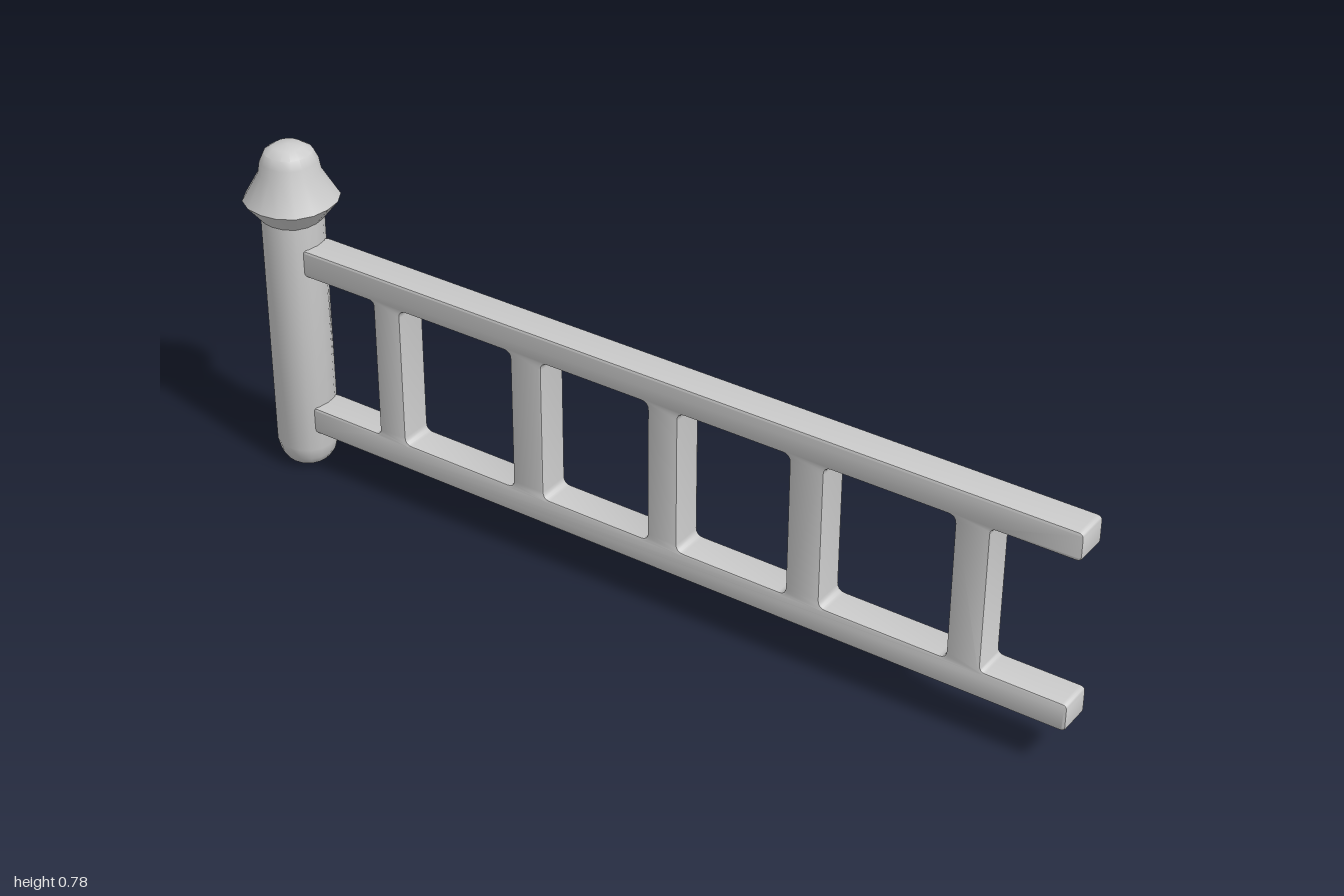
import * as THREE from 'three';
import { toCreasedNormals } from 'three/addons/utils/BufferGeometryUtils.js';

const material = new THREE.MeshStandardMaterial({ color: 0xcccccc });

// Traces a closed polygon with softened corners onto a Shape or Path
function roundedPolygon(path, points, radius) {
  const corners = points.map(([x, y]) => new THREE.Vector2(x, y));
  const n = corners.length;
  const toward = (a, b) => a.clone().add(b.clone().sub(a).setLength(radius));
  corners.forEach((c, i) => {
    const start = toward(c, corners[(i + n - 1) % n]);
    const end = toward(c, corners[(i + 1) % n]);
    if (i === 0) path.moveTo(start.x, start.y);
    else path.lineTo(start.x, start.y);
    path.quadraticCurveTo(c.x, c.y, end.x, end.y);
  });
  path.closePath();
  return path;
}

// Turned post with a flared collar and a domed cap
function createPost() {
  const profile = [
    [0, 0.001], [0.03, 0.004], [0.048, 0.014], [0.059, 0.032], [0.065, 0.058],
    [0.065, 0.607], [0.1, 0.651], [0.064, 0.715], [0.06, 0.74],
    [0.051, 0.76], [0.032, 0.773], [0, 0.777],
  ].map(([r, y]) => new THREE.Vector2(r, y));
  const geometry = new THREE.LatheGeometry(profile, 16);

  // Push the diagonals out a little for a soft, squarish section
  const p = geometry.attributes.position;
  for (let i = 0; i < p.count; i++) {
    const x = p.getX(i), z = p.getZ(i);
    const f = 1 + 0.04 * Math.sin(2 * Math.atan2(z, x)) ** 2;
    p.setXYZ(i, x * f, p.getY(i), z * f);
  }
  const post = new THREE.Mesh(toCreasedNormals(geometry, 0.6), material);
  post.name = 'post';
  post.position.x = -0.9;
  return post;
}

// Two rails and five uprights in one piece, with open bays at both ends
function createRailing() {
  const left = -0.85, right = 0.998;
  const bottom = 0.102, top = 0.555, low = 0.165, high = 0.492;
  const uprights = [[-0.66, -0.59], [-0.302, -0.224], [0.038, 0.11], [0.37, 0.448], [0.735, 0.81]];
  const first = uprights[0][0], last = uprights[4][1];

  const shape = roundedPolygon(new THREE.Shape(), [
    [left, bottom], [right, bottom], [right, low], [last, low], [last, high], [right, high],
    [right, top], [left, top], [left, high], [first, high], [first, low], [left, low],
  ], 0.012);

  // Openings between neighbouring uprights
  for (let i = 0; i < uprights.length - 1; i++) {
    const a = uprights[i][1], b = uprights[i + 1][0];
    shape.holes.push(roundedPolygon(new THREE.Path(),
      [[a, low], [a, high], [b, high], [b, low]], 0.016));
  }

  const depth = 0.077, bevel = 0.006;
  const geometry = new THREE.ExtrudeGeometry(shape, {
    depth: depth - 2 * bevel, curveSegments: 4,
    bevelThickness: bevel, bevelSize: bevel, bevelOffset: -bevel, bevelSegments: 2,
  });
  geometry.translate(0, 0, bevel - depth / 2 - 0.002);
  const railing = new THREE.Mesh(toCreasedNormals(geometry, 0.7), material);
  railing.name = 'railing';
  return railing;
}

export function createModel() {
  const group = new THREE.Group();
  group.name = 'fenceSection';
  group.add(createPost(), createRailing());
  return group;
}
